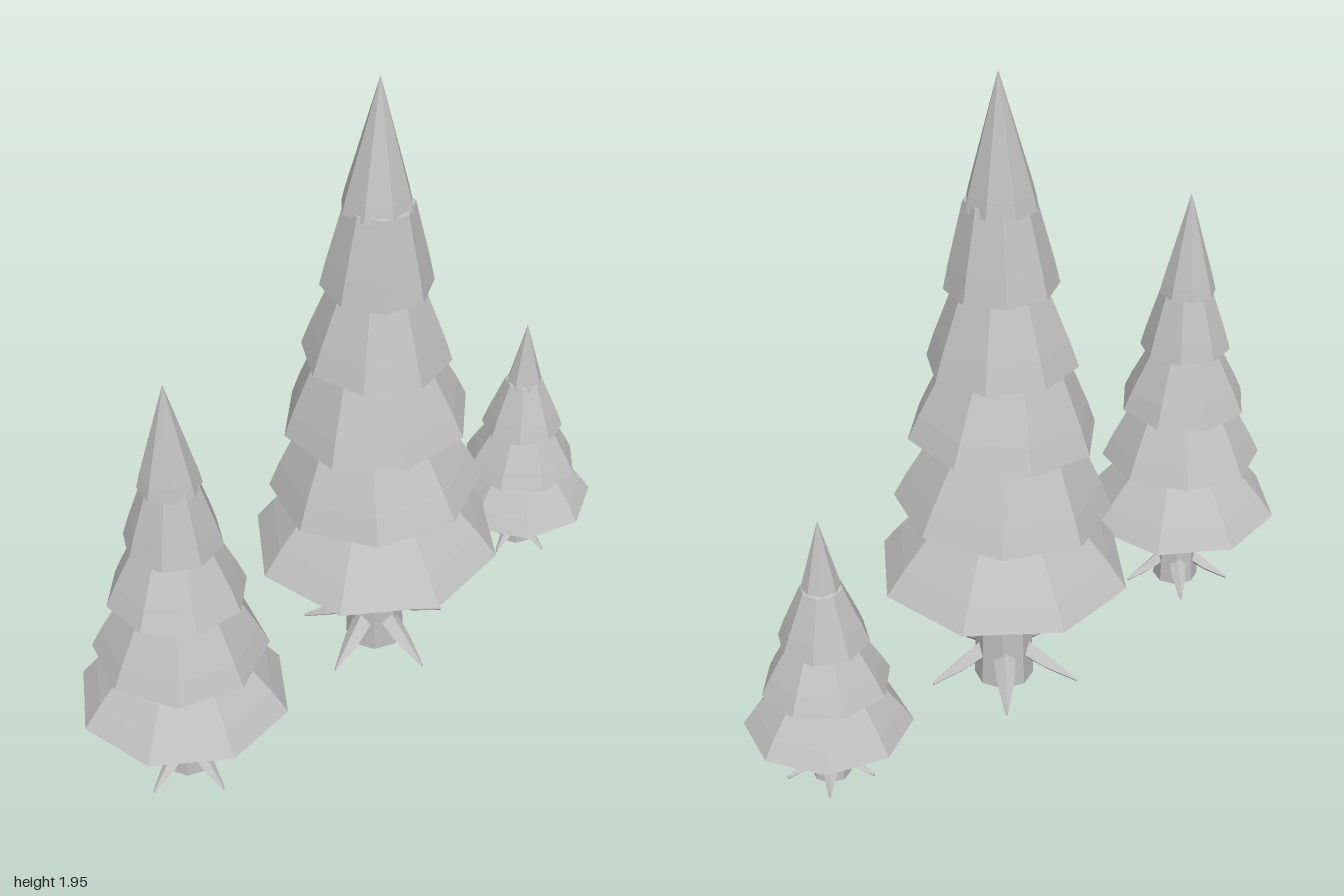
import * as THREE from 'three';

const grey = new THREE.MeshStandardMaterial({ color: 0xbfbfbf });
grey.name = 'plain grey';
const rad = THREE.MathUtils.degToRad;

// Faceted mesh: every face gets its own normal
function facet(geometry, name) {
  const g = geometry.index ? geometry.toNonIndexed() : geometry;
  g.computeVertexNormals();
  const mesh = new THREE.Mesh(g, grey);
  mesh.name = name;
  return mesh;
}

// Eight-sided solid turned from [radius, height] points, bottom to top
function turned(points, name) {
  return facet(new THREE.LatheGeometry(points.map(p => new THREE.Vector2(...p)), 8), name);
}

// One skirt of branches: closed underside, steep hem, sloping roof
function tier(y, r, topY, topR, name) {
  const h = topY - y;
  const midR = topR > 0 ? r - (r - topR) * 0.27 : r * 0.72;
  const points = [[0, 0.03], [r, 0], [midR, h * 0.3], [topR, h]];
  if (topR > 0) points.push([0, h + 0.02]);
  const mesh = turned(points, name);
  mesh.position.y = y;
  return mesh;
}

// Tapered root lofted through diamond sections [distance out, height, half width, half depth]
function root(reach, trunkR, height) {
  const sections = [
    [trunkR * 0.6, height * 0.85, trunkR * 0.38, height * 0.28],
    [reach * 0.58, height * 0.48, trunkR * 0.3, height * 0.2],
    [reach, 0.012, 0.004, 0.006],
  ];
  const verts = [], index = [];
  for (const [x, y, w, d] of sections)
    verts.push(x, y + d, 0, x, y, w, x, y - d, 0, x, y, -w);
  for (let s = 0; s < 2; s++)
    for (let k = 0; k < 4; k++) {
      const a = s * 4 + k, b = s * 4 + (k + 1) % 4;
      index.push(a, b, a + 4, b, b + 4, a + 4);
    }
  index.push(8, 9, 10, 8, 10, 11);
  const g = new THREE.BufferGeometry();
  g.setAttribute('position', new THREE.Float32BufferAttribute(verts, 3));
  g.setIndex(index);
  return facet(g, 'root');
}

// tiers: [rim height, rim radius, radius where the next tier starts, tilt x, tilt z]
function tree({ name, x, turn, apex, trunk, reach, rootHeight, tiers }) {
  const group = new THREE.Group();
  group.name = name;
  group.position.set(x, 0, -0.005);

  const [topR, bottomR] = trunk;
  group.add(turned([[0, 0], [bottomR, 0], [topR, tiers[0][0] + 0.1], [0, tiers[0][0] + 0.1]], 'trunk'));

  for (let i = 0; i < 5; i++) {
    const r = root(reach, bottomR, rootHeight);
    r.rotation.y = -rad(95 + i * 72);
    group.add(r);
  }

  tiers.forEach(([y, r, topRadius, tiltX, tiltZ], i) => {
    const last = i === tiers.length - 1;
    const mesh = last ? tier(y, r, apex, 0, 'treetop')
      : tier(y, r, tiers[i + 1][0] + 0.02, topRadius, 'branchTier');
    // straight-sided tip
    if (last) {
      mesh.geometry.dispose();
      mesh.geometry = turned([[0, 0.02], [r, 0], [r * 0.9, (apex - y) * 0.12], [0, apex - y]], 'tip').geometry;
    }
    mesh.rotation.set(tiltX, rad(turn + i * 17), tiltZ, 'ZXY');
    group.add(mesh);
  });
  return group;
}

export function createModel() {
  const model = new THREE.Group();
  model.name = 'pineTrees';
  model.add(
    tree({
      name: 'tallTree', x: 0.08, turn: 29, apex: 1.95, trunk: [0.075, 0.09], reach: 0.23, rootHeight: 0.13,
      tiers: [
        [0.395, 0.38, 0.18, -0.02, 0.01],
        [0.62, 0.32, 0.19, -0.04, 0.05],
        [0.86, 0.28, 0.17, -0.02, 0.05],
        [1.085, 0.22, 0.125, 0.02, 0],
        [1.32, 0.163, 0.1, 0.03, 0],
        [1.56, 0.106, 0, -0.02, -0.04],
      ],
    }),
    tree({
      name: 'mediumTree', x: -0.7, turn: 30.5, apex: 1.365, trunk: [0.058, 0.072], reach: 0.17, rootHeight: 0.1,
      tiers: [
        [0.275, 0.31, 0.14, -0.01, -0.03],
        [0.465, 0.25, 0.14, 0.03, 0.01],
        [0.66, 0.2, 0.1, -0.03, -0.04],
        [0.85, 0.14, 0.075, 0.02, 0],
        [1.04, 0.088, 0, 0, 0],
      ],
    }),
    tree({
      name: 'smallTree', x: 0.758, turn: 4.5, apex: 0.85, trunk: [0.046, 0.056], reach: 0.13, rootHeight: 0.08,
      tiers: [
        [0.178, 0.24, 0.12, 0, 0.02],
        [0.32, 0.185, 0.09, 0.02, 0],
        [0.467, 0.13, 0.06, -0.02, -0.01],
        [0.62, 0.06, 0, 0, 0],
      ],
    }),
  );
  return model;
}
